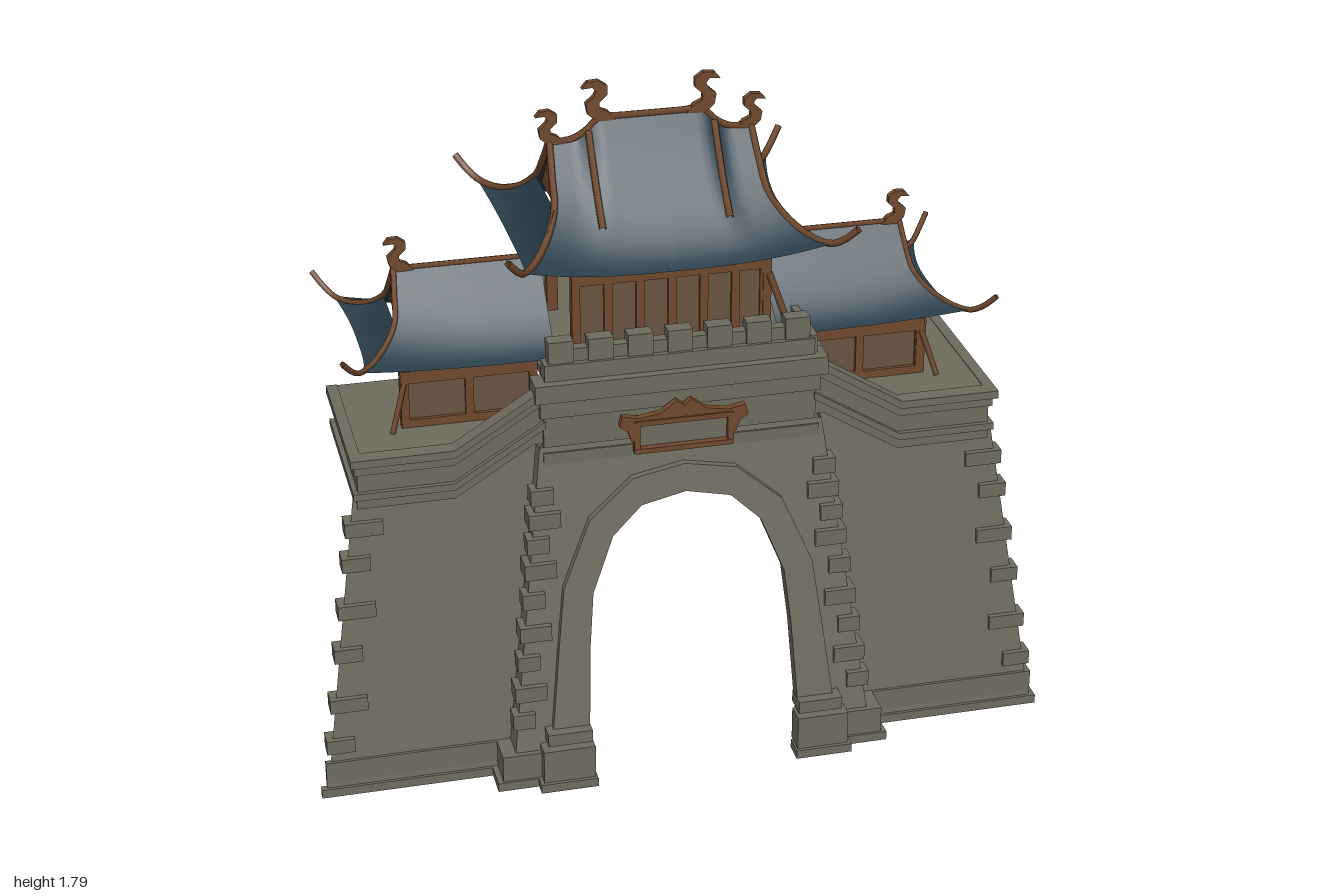
import * as THREE from 'three';

const paint = (name, color) => {
  const m = new THREE.MeshStandardMaterial({ color, side: THREE.DoubleSide });
  m.name = name;
  return m;
};

export function createModel() {
  const root = new THREE.Group();
  root.name = 'gatehouse';
  const stone = paint('stone', 0x6e6a5e);
  const tile = paint('roofTile', 0x293e4a);
  const wood = paint('timber', 0x6f482c);
  const panel = paint('timberPanel', 0x68543f);

  // ---- helpers ----
  const add = (name, geo, mat) => {
    const m = new THREE.Mesh(geo, mat);
    m.name = name;
    root.add(m);
    return m;
  };
  const box = (name, mat, x0, x1, y0, y1, z0, z1) => {
    const m = add(name, new THREE.BoxGeometry(Math.abs(x1 - x0), y1 - y0, z1 - z0), mat);
    m.position.set((x0 + x1) / 2, (y0 + y1) / 2, (z0 + z1) / 2);
    return m;
  };
  // grid surface from a function of two parameters in 0..1
  const surf = (name, mat, fn, nu, nv) => {
    const pos = [], idx = [];
    for (let i = 0; i <= nu; i++) for (let j = 0; j <= nv; j++) pos.push(...fn(i / nu, j / nv));
    for (let i = 0; i < nu; i++) for (let j = 0; j < nv; j++) {
      const a = i * (nv + 1) + j, b = a + nv + 1;
      idx.push(a, b, a + 1, b, b + 1, a + 1);
    }
    const g = new THREE.BufferGeometry();
    g.setAttribute('position', new THREE.Float32BufferAttribute(pos, 3));
    g.setIndex(idx);
    g.computeVertexNormals();
    return add(name, g, mat);
  };
  const poly = (pts) => new THREE.Shape(pts.map(([x, y]) => new THREE.Vector2(x, y)));
  const extrude = (shape, depth) => new THREE.ExtrudeGeometry(shape, { depth, bevelEnabled: false });
  // lean a geometry back as it rises
  const lean = (geo, z0, k) => {
    const p = geo.attributes.position;
    for (let i = 0; i < p.count; i++) p.setZ(i, p.getZ(i) + z0 - k * p.getY(i));
    geo.computeVertexNormals();
    return geo;
  };
  const tube = (name, mat, pts, r, seg = 12) =>
    add(name, new THREE.TubeGeometry(new THREE.CatmullRomCurve3(pts.map(p => new THREE.Vector3(...p))), seg, r, 5), mat);

  // ---- batter lines of the masonry ----
  const wingX = y => 0.985 - 0.145 * y, wingZ = y => 0.37 - 0.13 * y;
  const bayX = y => 0.5 - 0.13 * y, bayZ = y => 0.45 - 0.17 * y;

  // arch profiles, right half from foot to crown
  const inner = [[0.295, 0], [0.275, 0.38], [0.26, 0.53], [0.2, 0.68], [0.12, 0.755], [0, 0.78]];
  const outer = [[0.405, 0], [0.36, 0.38], [0.338, 0.55], [0.26, 0.73], [0.14, 0.83], [0, 0.855]];
  const flip = a => a.slice(0, -1).reverse().map(([x, y]) => [-x, y]);

  // central bay front and arch surround
  add('bayFront', lean(new THREE.ShapeGeometry(poly([
    [-bayX(0), 0], ...inner.map(([x, y]) => [-x, y]), ...inner.slice(0, -1).reverse(),
    [bayX(0), 0], [bayX(0.93), 0.93], [-bayX(0.93), 0.93]])), 0.45, 0.17), stone);
  add('archSurround', lean(extrude(poly([...outer, ...flip(outer), ...inner.map(([x, y]) => [-x, y]),
    ...inner.slice(0, -1).reverse()]), 0.04), 0.43, 0.17), stone);

  // half vault behind the arch, a little larger than the opening
  const vault = new THREE.CatmullRomCurve3(inner.map(([x, y]) => new THREE.Vector3(-x * 1.14, y * 1.075, 0)));
  surf('passageVault', stone, (u, v) => {
    const p = vault.getPoint(u);
    return [p.x, p.y, THREE.MathUtils.lerp(bayZ(p.y), -0.5 + 0.13 * p.y, v)];
  }, 20, 2);
  box('passagePlinth', stone, -0.33, -0.29, 0, 0.1, -0.47, 0.43);

  for (const s of [1, -1]) {
    const back = s > 0 ? -0.36 : -0.16;
    // wing front wall and return of the bay
    add('wingFront', lean(new THREE.ShapeGeometry(poly([[s * 0.36, 0], [s * wingX(0), 0],
      [s * wingX(0.85), 0.85], [s * 0.62, 0.87], [s * 0.36, 1]])), 0.37, 0.13), stone);
    surf('bayReturn', stone, (u, v) => {
      const y = u * 0.93;
      return [s * bayX(y), y, THREE.MathUtils.lerp(wingZ(y), bayZ(y), v)];
    }, 1, 1);

    // stepped plinths
    box('wingPlinthLow', stone, s * 0.5, s, 0, 0.025, 0.355, 0.375);
    box('wingPlinth', stone, s * 0.49, s * 0.985, 0.025, 0.1, 0.35, 0.365);
    box('bayPlinthLow', stone, s * 0.41, s * 0.54, 0, 0.025, 0.355, 0.455);
    box('bayPlinth', stone, s * 0.41, s * 0.525, 0.025, 0.1, 0.355, 0.448);
    box('pierPlinthLow', stone, s * 0.275, s * 0.43, 0, 0.025, 0.43, 0.49);
    box('pierPlinth', stone, s * 0.28, s * 0.42, 0.025, 0.12, 0.42, 0.48);
    box('pierCap', stone, s * 0.285, s * 0.405, 0.13, 0.165, 0.4, 0.47);

    // corner quoins
    [0.145, 0.26, 0.4, 0.52, 0.65, 0.745].forEach((y, i) => {
      const w = i % 2 ? 0.085 : 0.06, x = wingX(y), z = wingZ(y);
      box('wingQuoin', stone, s * (x - w), s * (x + 0.015), y - 0.02, y + 0.02, z - 0.04, z + 0.012);
    });
    [0.19, 0.265, 0.35, 0.43, 0.52, 0.6, 0.67, 0.735, 0.8].forEach((y, i) => {
      const w = i % 2 ? 0.07 : 0.045, x = bayX(y), z = bayZ(y);
      box('bayQuoin', stone, s * (x - w), s * (x + 0.015), y - 0.022, y + 0.022, z - (i % 2 ? 0.05 : 0.035), z + 0.012);
    });

    // cornice that steps down from the bay to the wing: top slab, band, tapered foot
    [[0, 0.022, 0.295, 0.87], [0.022, 0.05, 0.28, 0.86], [0.05, 0.1, 0.272, 0.852], [0.1, 0.12, 0.285, 0.865],
      [0.12, 0.15, 0.272, 0.855]].forEach(([a, b, z, x]) => {
      const g = extrude(poly([[s * 0.36, 1.1 - a], [s * 0.6, 0.95 - a], [s * x, 0.95 - a],
        [s * x, 0.95 - b], [s * 0.6, 0.95 - b], [s * 0.36, 1.1 - b]]), z - 0.25);
      g.translate(0, 0, 0.25);
      add('wingCornice', g, stone);
      box('sideCornice', stone, s * 0.84, s * x, 0.95 - b, 0.95 - a, back, z);
    });
    box('wingDeck', stone, s * 0.36, s * 0.86, 0.93, 0.948, back, 0.27);
  }

  // outer side wall on one end only, with its plinth
  surf('sideWall', stone, (u, v) => {
    const y = 0.1 + u * 0.75;
    return [wingX(y) - 0.03 * v * (1 - u), y, THREE.MathUtils.lerp(wingZ(y), -0.35, v)];
  }, 1, 1);
  box('sidePlinthLow', stone, 0.98, 1, 0, 0.025, 0.07, 0.37);
  box('sidePlinth', stone, 0.965, 0.985, 0.025, 0.1, 0.07, 0.36);

  // upper bay bands and deck
  [[0.88, 0.915, 0.37, 0.3], [0.915, 1.01, 0.365, 0.28], [1.01, 1.06, 0.375, 0.29],
    [1.06, 1.11, 0.39, 0.305], [1.11, 1.155, 0.36, 0.28]].forEach(([a, b, x, z]) =>
    box('bayBand', stone, -x, x, a, b, 0.23, z));
  box('mainDeck', stone, -0.35, 0.4, 1.08, 1.1, -0.4, 0.27);
  box('deckRearRim', stone, -0.33, 0.4, 1.03, 1.08, -0.4, -0.36);
  box('deckSide', stone, 0.36, 0.38, 0.95, 1.08, -0.35, 0.26);
  box('deckCurb', stone, 0.35, 0.37, 1.1, 1.16, -0.34, 0.27);

  // parapet with merlons
  box('parapet', stone, -0.345, 0.345, 1.15, 1.19, 0.235, 0.265);
  for (let i = 0; i < 7; i++) {
    const x = -0.315 + i * 0.105;
    box('merlon', stone, x - 0.033, x + 0.033, 1.15, 1.215, 0.23, 0.272);
  }
  box('rearMerlon', stone, 0.33, 0.37, 1.16, 1.2, -0.35, -0.3);

  // blank board in a scrolled frame
  box('boardPanel', stone, -0.125, 0.125, 0.91, 0.98, 0.28, 0.305);
  for (const y of [0.9, 0.98]) box('boardRail', wood, -0.13, 0.13, y - 0.006, y + 0.008, 0.28, 0.32);
  for (const s of [1, -1]) {
    box('boardStile', wood, s * 0.117, s * 0.133, 0.895, 0.985, 0.28, 0.318);
    add('boardEar', extrude(poly([[s * 0.12, 0.93], [s * 0.14, 0.93], [s * 0.15, 0.96], [s * 0.172, 0.975],
      [s * 0.165, 1.005], [s * 0.12, 0.995], [s * 0.06, 1.005], [s * 0.02, 1.035], [0, 1.02], [0, 0.985], [s * 0.12, 0.98]]), 0.02), wood)
      .position.z = 0.295;
  }

  // ---- timber halls: infill, posts and rails along x or z ----
  const hallWall = (name, alongX, at, a, b, y0, y1, bays) => {
    const put = (n, m, p, q, lo, hi, t) => alongX
      ? box(n, m, p, q, lo, hi, at - t, at + t) : box(n, m, at - t, at + t, lo, hi, p, q);
    put(name + 'Infill', panel, a, b, y0, y1, 0.004);
    put(name + 'TopBeam', wood, a - 0.01, b + 0.01, y1 - 0.035, y1, 0.016);
    put(name + 'Sill', wood, a, b, y0, y0 + 0.025, 0.014);
    for (let i = 0; i <= bays; i++) {
      const c = a + (b - a) * i / bays;
      put(name + 'Post', wood, c - 0.011, c + 0.011, y0, y1, 0.014);
    }
  };
  hallWall('mainHallFront', true, 0.17, -0.255, 0.255, 1.1, 1.36, 6);
  hallWall('mainHallSide', false, 0.25, -0.28, 0.17, 1.1, 1.36, 4);
  hallWall('wingHallFront', true, 0.12, 0.36, 0.7, 0.945, 1.11, 2);
  hallWall('wingHallFront', true, 0.12, -0.7, -0.36, 0.945, 1.11, 2);
  hallWall('wingHallSide', false, 0.7, -0.24, 0.12, 0.945, 1.11, 4);
  box('rearPost', wood, -0.26, -0.23, 1.1, 1.38, -0.2, -0.17);
  tube('mainBrace', wood, [[0.26, 1.31, 0.18], [0.31, 1.16, 0.2]], 0.01, 1);
  for (const s of [1, -1]) tube('wingBrace', wood, [[s * 0.7, 1.08, 0.13], [s * 0.74, 0.95, 0.16]], 0.008, 1);

  // flat scroll that crowns the ridge
  const finial = [[-0.3, -0.08], [0.2, -0.1], [0.45, 0.12], [0.5, 0.4], [0.28, 0.6], [0.22, 0.72], [0.32, 0.84],
    [0.6, 0.82], [0.45, 1], [0.15, 1.02], [-0.08, 0.86], [-0.08, 0.62], [0.14, 0.42], [0.12, 0.25], [-0.1, 0.16]];

  // ---- half of a hip-and-gable roof, mirrored by s ----
  const zc = -0.055, gv = 0.45;
  const halfRoof = (s, o) => {
    const W = v => o.w0 + 0.03 * Math.min(v, gv) + (o.w1 - o.w0 - 0.013) * Math.max(0, (v - gv) / (1 - gv));
    const Y = v => o.eave + (o.ridge - o.eave) * Math.pow(1 - v, 1.55);
    const slope = (u, v, side) => {
      const k = v ** 3 * u ** 3;
      const fall = o.drop * THREE.MathUtils.smoothstep(u, 0.5, 0.75) * (1 - v) ** 2;
      return [s * (o.xi + u * (W(v) - o.xi) + o.fx * k), Y(v) - fall + o.lift * k, zc + side * (o.d * v + o.fz * k)];
    };
    for (const side of [1, -1]) {
      surf('roofSlope', tile, (u, v) => slope(u, v, side), 16, 10);
      // hip rib running on past the eave to a raised tip
      const rib = [0, 0.2, 0.4, 0.6, 0.8, 0.92, 1].map(v => slope(1, v, side));
      const [ex, ey, ez] = rib[6];
      rib.push([ex + s * 0.025, ey + 0.022, ez + side * 0.028], [ex + s * o.tip, ey + 0.055, ez + side * o.tip]);
      tube('hipRib', wood, rib, o.r, 24);
      if (o.rib) {
        tube('slopeRib', wood, [0.03, 0.2, 0.4, 0.6].map(v => {
          const p = slope(o.rib / W(v), v, side);
          return [p[0], p[1] + 0.006, p[2]];
        }), o.r, 12);
      }
    }
    // end skirt below the gable
    surf('roofSkirt', tile, (a, b) => {
      const v = gv + a * (1 - gv), t = b * 2 - 1, k = v ** 3, q = Math.abs(t) ** 3;
      return [s * (W(v) + o.fx * k * q), Y(v) + o.lift * k * q, zc + t * (o.d * v + o.fz * k)];
    }, 6, 16);
    // gable with a stone-edged timber plate
    const gx = s * (o.w0 - 0.005);
    const gable = (name, mat, out, top, base, wide) => surf(name, mat, (a, b) => {
      const p = slope(1, gv * (top + a * (base - top)), 1);
      return [gx + s * out, p[1] - 0.006, zc + (b * 2 - 1) * (p[2] - zc - gv * o.d * top) * wide];
    }, 6, 2);
    gable('gable', tile, 0, 0, 1, 1);
    gable('gableRim', stone, 0.004, 0.1, 0.97, 0.95);
    gable('gablePlate', wood, 0.008, 0.16, 0.93, 0.94);
    // ridge beam
    tube('ridge', wood, [0, 0.3, 0.5, 0.65, 0.8, 1].map(u => slope(u, 0, 1)), o.r, 16);
    // flat curled finials
    for (const [u, h] of o.finials) {
      const [x, y] = slope(u, 0, 1);
      add('finial', extrude(poly(finial.map(([a, b]) => [s * a * h, b * h])), 0.018), wood)
        .position.set(x, y, zc - 0.009);
    }
  };
  for (const s of [1, -1]) {
    halfRoof(s, { xi: 0, w0: 0.27, w1: 0.375, ridge: 1.69, eave: 1.365, d: 0.29, fx: 0.03, fz: 0.035, lift: 0.05,
      tip: 0.05, drop: 0.055, r: 0.01, rib: 0.168, finials: [[0.46, 0.1], [0.95, 0.085]] });
    halfRoof(s, { xi: 0.3, w0: 0.69, w1: 0.79, ridge: 1.32, eave: 1.115, d: 0.215, fx: 0.03, fz: 0.03, lift: 0.032,
      tip: 0.05, drop: 0, r: 0.008, rib: 0, finials: [[0.93, 0.085]] });
  }

  return root;
}
